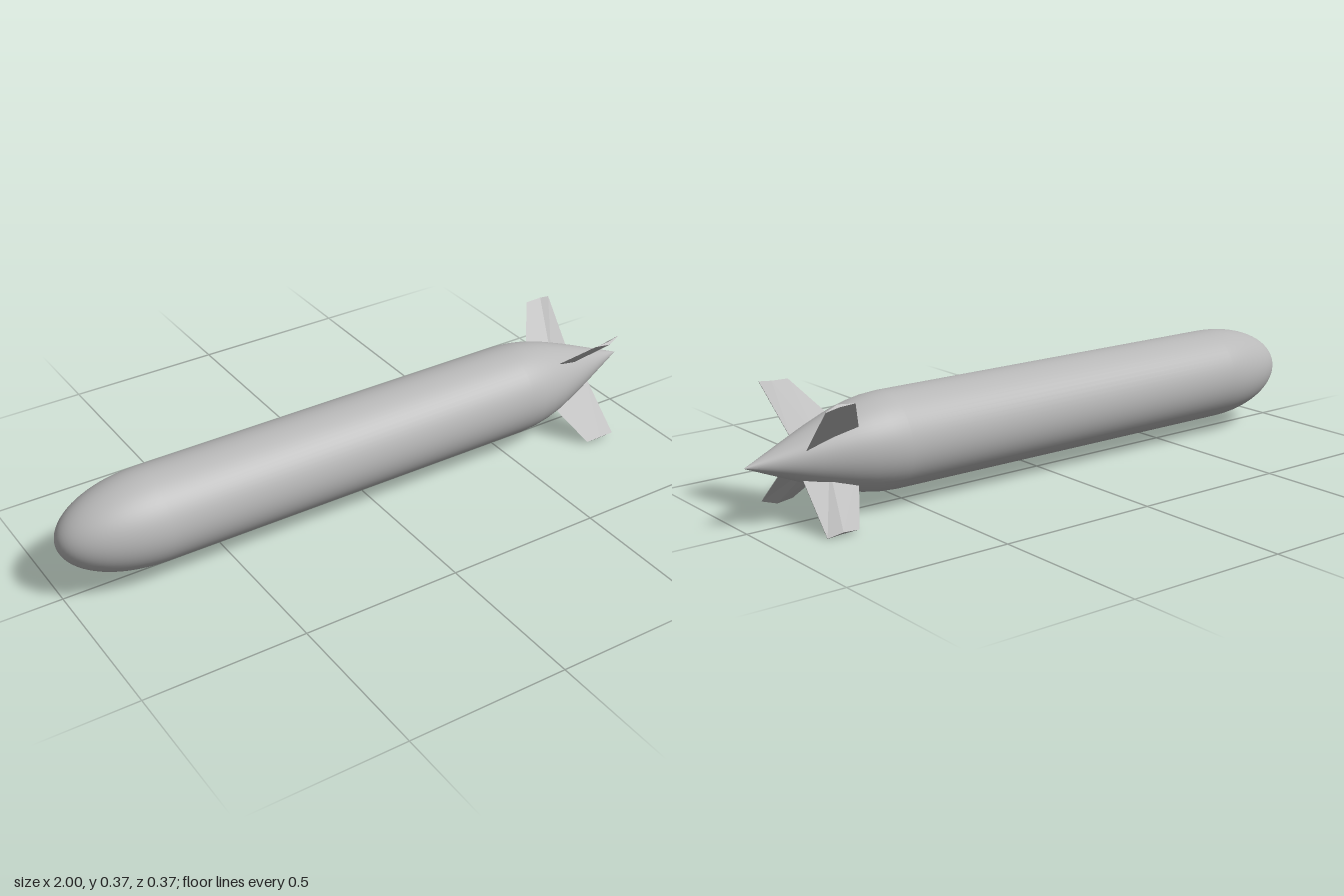
import * as THREE from 'three';

const AXIS_Y = 0.186;
const RADIUS = 0.143;

// Body of revolution: elliptical nose, straight barrel, curved shoulder, conical tail
function bodyGeometry() {
  const pts = [];
  const noseLength = 0.29;
  for (let i = 0; i <= 20; i++) {
    const t = (i / 20) * Math.PI / 2;
    pts.push(new THREE.Vector2(RADIUS * Math.sin(t), -1 + noseLength * (1 - Math.cos(t))));
  }
  const tail = [[0.55, 0.143], [0.6, 0.1395], [0.65, 0.131], [0.7, 0.118],
    [0.75, 0.1005], [0.8, 0.082], [0.84, 0.066], [0.92, 0.033], [1, 0]];
  for (const [x, r] of tail) pts.push(new THREE.Vector2(r, x));
  return new THREE.LatheGeometry(pts, 64).rotateZ(-Math.PI / 2);
}

// Cambered fin section in the x / thickness plane, counter-clockwise
function finSection(lead, trail, shift, r) {
  const mid = lead + (trail - lead) * 0.55;
  return [[lead, 0], [mid, -0.007], [trail, 0.0096], [trail, 0.0112], [mid, 0.003]]
    .map(([x, p]) => new THREE.Vector3(x, p + shift, r));
}

// Fin lofted from a root section inside the body to the tip, flat faces
function finGeometry() {
  const root = finSection(0.658, 0.839, 0.007, 0.05);
  const tip = finSection(0.755, 0.851, 0, 0.249);
  const tris = [];
  const n = root.length;
  for (let i = 0; i < n; i++) {
    const j = (i + 1) % n;
    tris.push(root[i], root[j], tip[j], root[i], tip[j], tip[i]);
  }
  for (const [b, c] of [[2, 3], [3, 4], [4, 0]]) {
    tris.push(tip[1], tip[b], tip[c], root[1], root[c], root[b]);
  }
  const geometry = new THREE.BufferGeometry().setFromPoints(tris);
  geometry.computeVertexNormals();
  return geometry;
}

export function createModel() {
  const grey = new THREE.MeshStandardMaterial({ color: 0xb8b8b8 });
  grey.name = 'light grey';

  const model = new THREE.Group();
  model.name = 'torpedo';
  model.position.y = AXIS_Y;

  const body = new THREE.Mesh(bodyGeometry(), grey);
  body.name = 'body';
  model.add(body);

  // Four tail fins in an X arrangement
  const fin = finGeometry();
  for (let i = 0; i < 4; i++) {
    const mesh = new THREE.Mesh(fin, grey);
    mesh.name = `tailFin${i + 1}`;
    mesh.rotation.x = -(Math.PI / 4 + i * Math.PI / 2);
    model.add(mesh);
  }

  const group = new THREE.Group();
  group.add(model);
  return group;
}
